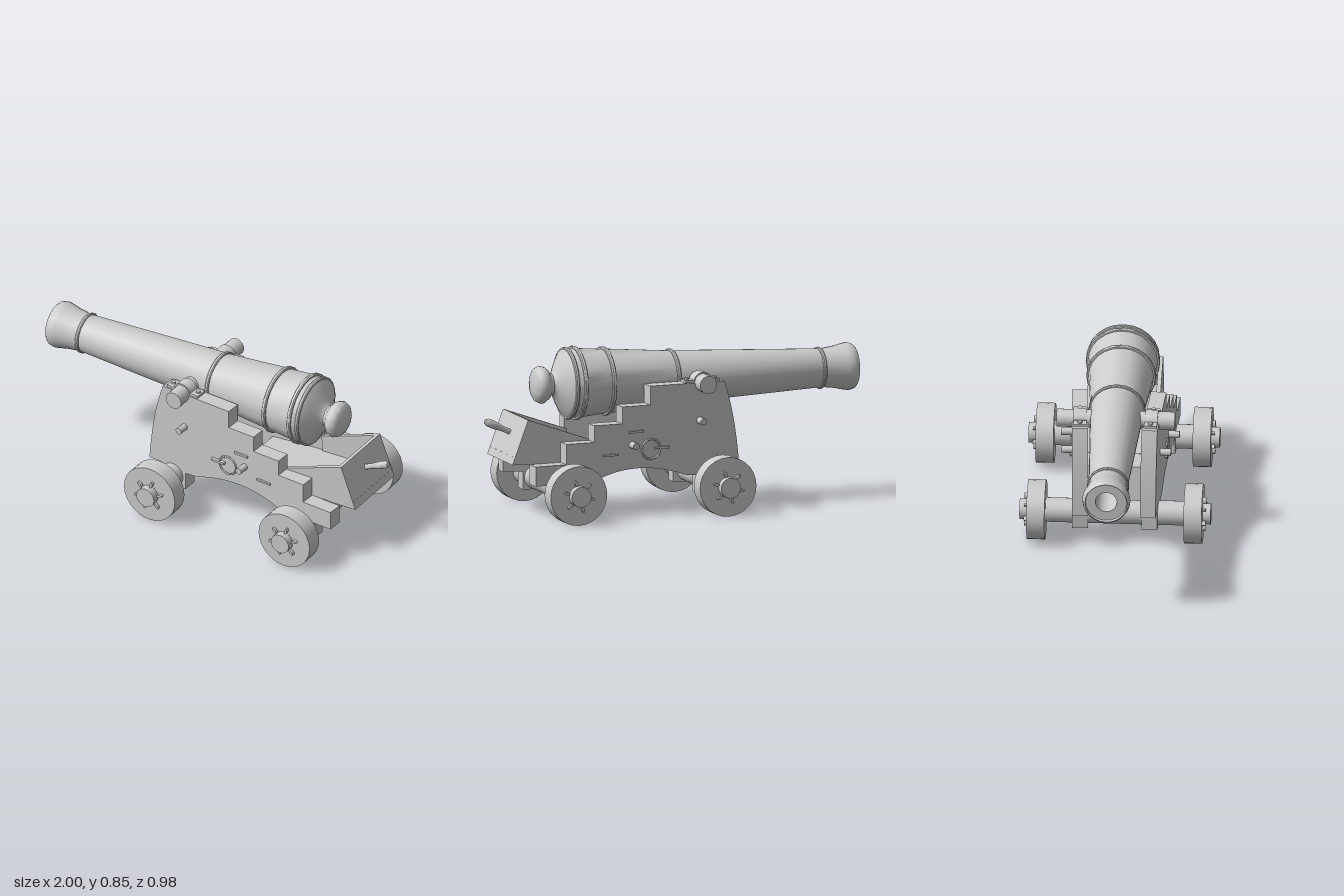
import * as THREE from 'three';
import { toCreasedNormals } from 'three/addons/utils/BufferGeometryUtils.js';

const mat = new THREE.MeshStandardMaterial({ color: 0xcccccc, side: THREE.DoubleSide });

function add(parent, name, geometry, x = 0, y = 0, z = 0) {
  const mesh = new THREE.Mesh(geometry, mat);
  mesh.name = name;
  mesh.position.set(x, y, z);
  parent.add(mesh);
  return mesh;
}

// Cylinder lying along z
const rod = (r, length, sides = 16) => new THREE.CylinderGeometry(r, r, length, sides).rotateX(Math.PI / 2);

// Side outline extruded along z and centred on z = 0
function slab(shape, depth) {
  return new THREE.ExtrudeGeometry(shape, { depth, bevelEnabled: false, curveSegments: 12 }).translate(0, 0, -depth / 2);
}
const poly = (pts) => new THREE.Shape(pts.map(([x, y]) => new THREE.Vector2(x, y)));

// Profile of [position along axis, radius] turned about the x axis
function turned(profile, sides) {
  const g = new THREE.LatheGeometry(profile.map(([x, r]) => new THREE.Vector2(r, x)), sides);
  return toCreasedNormals(g.rotateZ(-Math.PI / 2), 0.6);
}

// Raised band on the barrel
const band = (x, base, r, w) => [[x - w, base], [x - w, r - 0.004], [x - w * 0.5, r], [x + w * 0.5, r], [x + w, r - 0.004], [x + w, base]];

function buildBarrel() {
  const g = new THREE.Group();
  g.name = 'barrel';
  g.position.y = 0.66;
  add(g, 'barrelTube', turned([
    [-0.5, 0], [-0.5, 0.055], [-0.985, 0.055],
    [-0.985, 0.105], [-1, 0.108], [-0.99, 0.117], [-0.965, 0.123], [-0.94, 0.118], [-0.9, 0.109], [-0.85, 0.102],
    ...band(-0.815, 0.1, 0.108, 0.009),
    ...band(-0.01, 0.137, 0.146, 0.01),
    ...band(0.352, 0.166, 0.178, 0.011),
    ...band(0.51, 0.178, 0.19, 0.011),
    ...band(0.555, 0.174, 0.185, 0.01),
    [0.575, 0.16], [0.595, 0.125], [0.615, 0.085], [0.63, 0.06], [0.645, 0.053],
  ], 24));
  add(g, 'breechKnob', turned([
    [0.635, 0.056], [0.65, 0.062], [0.662, 0.08], [0.68, 0.094], [0.7, 0.097],
    [0.72, 0.088], [0.734, 0.068], [0.742, 0.035], [0.744, 0],
  ], 14));
  add(g, 'trunnions', rod(0.046, 0.604, 20), -0.107);
  return g;
}

// Stepped side of the carriage with an arched underside
function cheekShape() {
  const s = new THREE.Shape();
  s.moveTo(-0.305, 0.2);
  s.quadraticCurveTo(-0.285, 0.48, -0.222, 0.662);
  const steps = [[0.19, 0.662], [0.345, 0.565], [0.5, 0.478], [0.655, 0.392], [0.825, 0.287]];
  steps.forEach(([x, y], i) => {
    if (i) s.lineTo(steps[i - 1][0], y);
    s.lineTo(x, y);
  });
  // Rear foot, arch and front foot
  s.lineTo(0.825, 0.185);
  s.lineTo(0.72, 0.185);
  s.lineTo(0.72, 0.09);
  s.lineTo(0.58, 0.09);
  s.lineTo(0.58, 0.185);
  s.lineTo(0.5, 0.19);
  s.quadraticCurveTo(0.27, 0.295, -0.01, 0.19);
  s.lineTo(-0.08, 0.185);
  s.lineTo(-0.08, 0.09);
  s.lineTo(-0.23, 0.09);
  s.lineTo(-0.23, 0.2);
  return s;
}

function buildCheek(side) {
  const g = new THREE.Group();
  g.name = side > 0 ? 'frontCheek' : 'rearCheek';
  g.position.z = 0.19 * side;
  g.rotation.y = -0.056 * side;
  add(g, 'cheekPlank', toCreasedNormals(slab(cheekShape(), 0.08), 0.5));

  // Strap over the trunnion
  const strap = new THREE.Shape();
  strap.moveTo(-0.2, 0.66);
  strap.lineTo(-0.2, 0.675);
  strap.lineTo(-0.157, 0.675);
  strap.absarc(-0.107, 0.66, 0.053, Math.PI - 0.3, 0.3, true);
  strap.lineTo(-0.01, 0.675);
  strap.lineTo(-0.01, 0.66);
  add(g, 'trunnionStrap', toCreasedNormals(slab(strap, 0.065), 0.5));
  for (const x of [-0.182, -0.03]) add(g, 'strapBolt', new THREE.CylinderGeometry(0.012, 0.012, 0.014, 10), x, 0.678, 0);

  // Bolts, ring and wedges on the outer face
  const out = 0.04 * side;
  add(g, 'upperBolt', rod(0.018, 0.07, 12), -0.085, 0.467, out * 1.5);
  add(g, 'lowerBolt', rod(0.018, 0.08, 12), 0.29, 0.365, out * 1.4);
  add(g, 'ring', new THREE.TorusGeometry(0.051, 0.005, 6, 28), 0.188, 0.338, out + 0.006 * side);
  add(g, 'ringStaple', new THREE.BoxGeometry(0.08, 0.012, 0.034), 0.13, 0.343, out);
  add(g, 'upperWedge', new THREE.BoxGeometry(0.08, 0.012, 0.02), 0.27, 0.432, out);
  add(g, 'lowerWedge', new THREE.BoxGeometry(0.085, 0.01, 0.02), 0.41, 0.32, out);
  return g;
}

function buildAxle(x, name) {
  const g = new THREE.Group();
  g.name = name;
  g.position.set(x, 0.153, 0);
  add(g, 'axleBeam', rod(0.063, 0.72, 20));
  add(g, 'axleEnds', rod(0.053, 0.976, 20));
  for (const side of [1, -1]) {
    add(g, 'wheel', rod(0.153, 0.092, 28), 0, 0, 0.401 * side);
    // Pegs around the hub
    for (let i = 0; i < 6; i++) {
      const a = (i / 6) * Math.PI * 2 + Math.PI / 12;
      const peg = add(g, 'hubPeg', rod(0.01, 0.034, 8).scale(1.7, 0.8, 1), Math.cos(a) * 0.07, Math.sin(a) * 0.07, 0.447 * side);
      peg.rotation.z = a;
    }
  }
  return g;
}

function buildBed() {
  const g = new THREE.Group();
  g.name = 'bed';
  // Floor narrows towards the front
  const floor = slab(poly([[0.2, 0.255], [0.915, 0.287], [0.902, 0.325], [0.2, 0.295]]), 0.372);
  const p = floor.attributes.position;
  for (let i = 0; i < p.count; i++) if (p.getX(i) < 0.3) p.setZ(i, p.getZ(i) * 0.9);
  floor.computeVertexNormals();
  add(g, 'bedFloor', floor);
  for (const side of [1, -1]) {
    add(g, 'bedSide', slab(poly([[0.5, 0.283], [0.915, 0.288], [0.83, 0.515], [0.49, 0.395]]), 0.022), 0, 0, 0.176 * side);
  }
  add(g, 'bedBack', slab(poly([[0.89, 0.288], [0.915, 0.288], [0.83, 0.515], [0.807, 0.507]]), 0.374));

  // Turned handle
  const handle = add(g, 'handle', turned([
    [0, 0.014], [0.05, 0.014], [0.08, 0.018], [0.11, 0.021], [0.14, 0.02], [0.155, 0.012], [0.159, 0],
  ], 12), 0.855, 0.425, 0);
  handle.rotation.z = 0.43;

  // Cross piece between the cheeks at the front
  add(g, 'transom', slab(poly([[-0.2, 0.24], [-0.03, 0.24], [-0.03, 0.42], [-0.17, 0.42]]), 0.32));
  return g;
}

export function createModel() {
  const model = new THREE.Group();
  model.name = 'cannon';
  model.add(buildBarrel(), buildCheek(1), buildCheek(-1));
  model.add(buildAxle(-0.16, 'muzzleAxle'), buildAxle(0.65, 'breechAxle'), buildBed());
  return model;
}
